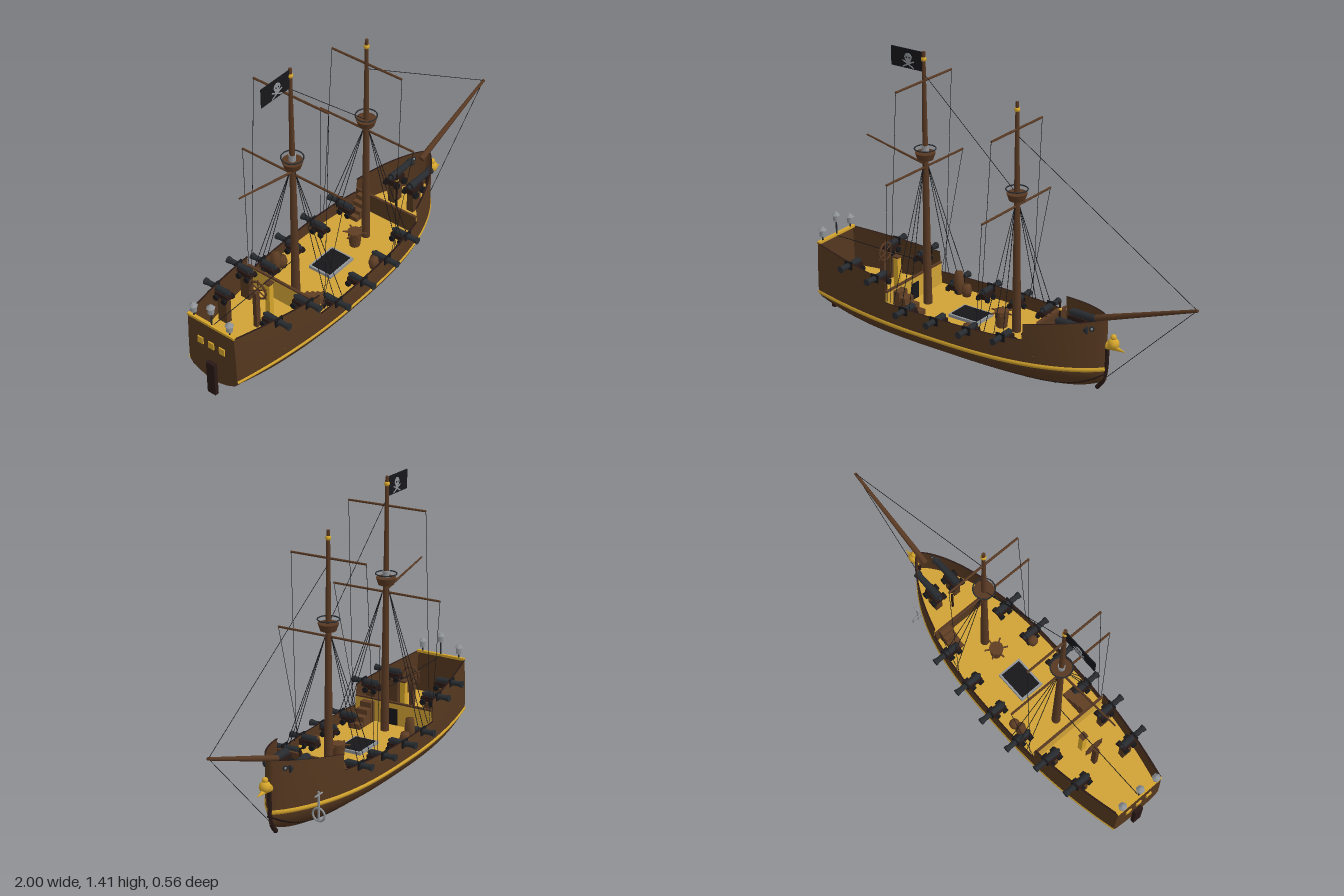
import * as THREE from 'three';
import { ParametricGeometry } from 'three/addons/geometries/ParametricGeometry.js';

const V = (x, y, z) => new THREE.Vector3(x, y, z);
const paint = (name, color, side = THREE.FrontSide) => {
  const m = new THREE.MeshStandardMaterial({ color, side });
  m.name = name;
  return m;
};

export function createModel() {
  const ship = new THREE.Group();
  ship.name = 'ship';
  const hullWood = paint('hull wood', 0x54371f, THREE.DoubleSide);
  const mastWood = paint('mast wood', 0x573822);
  const darkWood = paint('dark wood', 0x281815, THREE.DoubleSide);
  const gold = paint('gold', 0xd4a42c, THREE.DoubleSide);
  const deckWood = paint('deck', 0xd0a236, THREE.DoubleSide);
  const iron = paint('iron', 0x272b2f);
  const black = paint('black', 0x17171a);
  const grey = paint('grey', 0x8f9397);
  const boxWood = paint('cargo wood', 0x5f3e24);

  const add = (name, geo, mat, x = 0, y = 0, z = 0, parent = ship) => {
    const m = new THREE.Mesh(geo, mat);
    m.name = name;
    m.position.set(x, y, z);
    parent.add(m);
    return m;
  };
  const box = (name, w, h, d, mat, x, y, z, parent) => add(name, new THREE.BoxGeometry(w, h, d), mat, x, y, z, parent);
  const cyl = (name, r1, r0, h, mat, x, y, z, parent, n = 12) => add(name, new THREE.CylinderGeometry(r1, r0, h, n), mat, x, y, z, parent);
  const ball = (name, r, mat, x, y, z, parent) => add(name, new THREE.SphereGeometry(r, 14, 10), mat, x, y, z, parent);
  // tapered rod between two points
  const rod = (name, a, b, r0, r1, mat, parent = ship, n = 10) => {
    const d = b.clone().sub(a), mid = a.clone().add(b).multiplyScalar(0.5);
    const m = cyl(name, r1, r0, d.length(), mat, mid.x, mid.y, mid.z, parent, n);
    m.quaternion.setFromUnitVectors(V(0, 1, 0), d.normalize());
    return m;
  };
  const rope = (a, b, r = 0.0014) => rod('rope', a, b, r, r, black, ship, 5);

  // hull rule: beam, keel line and section shape
  const beam = x => x < -0.3 ? 0.22 - 0.085 * ((-0.3 - x) / 0.68) ** 2
    : 0.22 * Math.max(0, 1 - ((x + 0.3) / 0.86) ** 3) ** 0.8;
  const keelY = x => x < -0.45 ? 0.01 + 0.07 * ((-0.45 - x) / 0.53) ** 3
    : x > 0.2 ? 0.01 + 0.08 * ((x - 0.2) / 0.36) ** 3 : 0.01;
  const half = (x, y) => {
    const k = keelY(x), s = Math.max(0, (y - k) / (0.15 - k));
    return beam(x) * (s < 1 ? (1 - (1 - s) ** 2) ** 0.7 : 1 - 0.06 * ((y - 0.15) / 0.25) ** 2);
  };
  const lerp = THREE.MathUtils.lerp;
  const surface = (name, mat, nu, nv, fn) =>
    add(name, new ParametricGeometry((u, v, t) => t.set(...fn(u, v)), nu, nv), mat);

  // three hull lengths: x0, x1, top at x0, top at x1
  const floor = 0.19;
  const lengths = [[-0.98, -0.51, 0.395, 0.35], [-0.51, 0.23, 0.247, 0.26], [0.23, 0.56, 0.335, 0.385]];
  for (const [x0, x1, t0, t1] of lengths) {
    const top = x => lerp(t0, t1, (x - x0) / (x1 - x0));
    for (const s of [1, -1]) {
      const at = u => s > 0 ? lerp(x0, x1, u) : lerp(x1, x0, u);
      surface('hullSide', hullWood, 36, 22, (u, v) => {
        const x = at(u), y = lerp(keelY(x), top(x), v ** 1.5);
        return [x, y, s * half(x, y)];
      });
      surface('capRail', darkWood, 36, 1, (u, v) => {
        const x = at(u), y = top(x);
        return [x, y + 0.002, s * Math.max(0, half(x, y) + lerp(0.005, -0.004, v))];
      });
    }
    surface('deck', deckWood, 36, 1, (u, v) => {
      const x = lerp(x0, x1, u);
      return [x, floor, half(x, floor) * (1 - 2 * v)];
    });
  }
  surface('transom', hullWood, 12, 16, (u, v) => {
    const y = lerp(keelY(-0.98), 0.395, v);
    return [-0.98, y, half(-0.98, y) * (2 * u - 1)];
  });

  // raised bands along the sides
  const wale = (name, mat, s, height, bulge, yAt) => surface(name, mat, 70, 6, (u, v) => {
    const x = s > 0 ? lerp(-0.98, 0.557, u) : lerp(0.557, -0.98, u);
    const y = yAt(x) + height * (v - 0.5);
    return [x, y, s * (half(x, y) + 0.001 + bulge * Math.sin(Math.PI * v))];
  });
  for (const s of [1, -1]) {
    wale('goldWale', gold, s, 0.021, 0.004, () => 0.146);
    wale('lowerWale', darkWood, s, 0.01, 0.004, x => keelY(x) + 0.036);
  }
  // keel, stem and rudder
  box('keel', 1.1, 0.03, 0.022, darkWood, -0.25, 0.015, 0);
  add('stem', new THREE.TubeGeometry(new THREE.CatmullRomCurve3(
    [V(0.51, 0.04, 0), V(0.54, 0.08, 0), V(0.555, 0.15, 0), V(0.558, 0.25, 0)]), 16, 0.011, 6), darkWood);
  box('rudder', 0.02, 0.175, 0.045, darkWood, -0.99, 0.107, 0);
  // stern windows, rail and lanterns
  for (const z of [-0.06, 0, 0.06]) box('sternWindow', 0.006, 0.035, 0.03, gold, -0.984, 0.29, z);
  box('sternRail', 0.016, 0.012, 0.26, gold, -0.975, 0.398, 0);
  for (const [z, y] of [[-0.1, 0.425], [0, 0.468], [0.1, 0.425]]) {
    const g = new THREE.Group();
    g.name = 'lantern';
    g.position.set(-0.972, y, z);
    ship.add(g);
    rod('lanternPole', V(0, 0.398 - y, 0), V(0, 0, 0), 0.004, 0.004, iron, g);
    cyl('lanternBody', 0.015, 0.015, 0.03, grey, 0, 0.015, 0, g, 6);
    cyl('lanternRoof', 0.005, 0.021, 0.016, grey, 0, 0.038, 0, g, 6);
  }

  // bulkheads, door and stairs
  for (const [x, h, mat] of [[-0.507, 0.3, deckWood], [0.228, 0.285, hullWood]]) {
    const w = half(x, 0.24) * 2 - 0.01;
    box('bulkhead', 0.008, h - floor, w, mat, x, (h + floor) / 2, 0);
    box('bulkheadRail', 0.012, 0.008, w, mastWood, x, h + 0.001, 0);
  }
  box('cabinDoor', 0.006, 0.08, 0.05, black, -0.501, 0.232, 0);
  for (let i = 0; i < 4; i++) {
    const h = 0.025 * (4 - i);
    box('aftStair', 0.034, h, 0.06, boxWood, -0.485 + i * 0.035, floor + h / 2, 0.13);
    box('foreStair', 0.024, h * 0.9, 0.06, boxWood, 0.21 - i * 0.025, floor + h * 0.45, -0.12);
  }

  // guns on carriages that reach down to the deck
  const cannon = (x, y, z, turn, size = 1) => {
    const g = new THREE.Group();
    g.name = 'cannon';
    g.position.set(x, y, z);
    g.rotation.y = turn;
    g.scale.setScalar(size);
    ship.add(g);
    rod('barrel', V(0, 0, -0.07), V(0, 0, 0.06), 0.016, 0.012, iron, g);
    rod('muzzle', V(0, 0, 0.042), V(0, 0, 0.06), 0.014, 0.017, iron, g);
    ball('breechKnob', 0.009, iron, 0, 0, -0.077, g);
    const drop = (y - floor) / size;
    if (drop > 0.08) box('gunPedestal', 0.03, drop - 0.04, 0.05, hullWood, 0, -(drop + 0.04) / 2, -0.045, g);
    box('carriage', 0.04, 0.024, 0.07, darkWood, 0, -0.02, -0.045, g);
    for (const wx of [-0.026, 0.026]) for (const wz of [-0.068, -0.022])
      rod('wheel', V(wx - 0.006, -0.034, wz), V(wx + 0.006, -0.034, wz), 0.014, 0.014, black, g);
  };
  const guns = [[-0.75, 0.36], [-0.575, 0.35], [-0.398, 0.24], [-0.222, 0.24], [-0.045, 0.243], [0.13, 0.255]];
  for (const s of [1, -1]) {
    for (const [x, y] of guns) {
      const w = half(x, y);
      cannon(x, y, s * (w + 0.003), s > 0 ? 0 : Math.PI);
      box('gunPort', 0.045, 0.038, 0.008, black, x, y, s * (w + 0.003));
    }
    cannon(0.425, 0.338, s * 0.055, Math.PI / 2, 1.2);
    // hawse holes: dark ring with a pale centre
    const hawse = add('hawseRing', new THREE.TorusGeometry(0.009, 0.004, 6, 14), iron, 0.51, 0.345, s * (half(0.51, 0.345) + 0.001));
    const hole = ball('hawseHole', 0.008, grey, 0.51, 0.345, s * half(0.51, 0.345));
    hole.scale.z = 0.4;
    hole.rotation.y = hawse.rotation.y = s * 0.6;
  }

  // masts: x, top, top yard, half length, low yard, half length, nest height
  const masts = [[-0.427, 1.41, 1.275, 0.2, 0.868, 0.28, 0.905], [0.077, 1.28, 1.155, 0.19, 0.8, 0.26, 0.828]];
  for (const [x, top, y1, l1, y0, l0, nest] of masts) {
    rod('mast', V(x, 0.18, 0), V(x, top, 0), 0.021, 0.008, mastWood, ship, 14);
    ball('mastBall', 0.013, gold, x, top - 0.035, 0);
    cyl('crowsNest', 0.047, 0.036, 0.033, mastWood, x, nest + 0.016, 0, ship, 18);
    const ring = add('nestRail', new THREE.TorusGeometry(0.049, 0.003, 6, 24), iron, x, nest + 0.051, 0);
    ring.rotation.x = Math.PI / 2;
    for (const s of [1, -1]) {
      rod('upperYard', V(x, y1, 0), V(x, y1, s * l1), 0.0055, 0.005, mastWood);
      rod('lowerYard', V(x, y0, 0), V(x, y0, s * l0), 0.0055, 0.005, mastWood);
      const foot = dx => V(x + dx, 0.255, s * (half(x + dx, 0.25) - 0.004));
      rope(V(x, y1, s * l1), foot(-0.055), 0.0012);
      rope(V(x, y0, s * l0), foot(-0.075), 0.0012);
      for (const dx of [-0.035, 0.015, 0.06]) rope(V(x, nest - 0.02, s * 0.012), foot(dx), 0.0016);
    }
  }
  cyl('mastCollar', 0.016, 0.016, 0.03, grey, -0.427, 0.955, 0);
  rod('gaff', V(-0.43, 0.88, 0), V(-0.765, 0.95, 0), 0.006, 0.004, mastWood);
  rope(V(-0.43, 0.393, 0), V(-0.98, 0.393, 0), 0.0018);
  rod('bowsprit', V(0.5, 0.375, 0), V(0.998, 0.55, 0), 0.015, 0.007, mastWood);
  rope(V(-0.43, 1.31, 0), V(0.06, 0.87, 0));
  rope(V(0.075, 1.13, 0), V(0.995, 0.55, 0));
  rope(V(0.995, 0.55, 0), V(0.555, 0.1, 0));

  // flag with a bone emblem
  box('flag', 0.178, 0.09, 0.004, black, -0.52, 1.361, 0);
  const skull = cyl('emblemHead', 0.02, 0.02, 0.008, grey, -0.513, 1.368, 0, ship, 16);
  skull.rotation.x = Math.PI / 2;
  box('emblemJaw', 0.026, 0.018, 0.008, grey, -0.513, 1.348, 0);
  for (const s of [1, -1]) {
    box('emblemBone', 0.07, 0.006, 0.007, grey, -0.513, 1.336, 0).rotation.z = s * 0.45;
    const eye = cyl('emblemEye', 0.004, 0.004, 0.0095, black, -0.513 + s * 0.008, 1.367, 0, ship, 8);
    eye.rotation.x = Math.PI / 2;
  }

  // figurehead
  ball('figureBody', 0.027, gold, 0.59, 0.277, 0);
  ball('figureHead', 0.014, gold, 0.59, 0.308, 0);
  rod('figureTail', V(0.56, 0.265, 0), V(0.65, 0.252, 0), 0.022, 0.001, gold);
  // anchor
  add('anchorRing', new THREE.TorusGeometry(0.03, 0.005, 8, 24), grey, 0.395, 0.107, -0.145).rotation.y = Math.PI / 2;
  rod('anchorShank', V(0.395, 0.08, -0.145), V(0.395, 0.215, -0.145), 0.005, 0.005, grey);
  rod('anchorStock', V(0.365, 0.2, -0.145), V(0.425, 0.2, -0.145), 0.004, 0.004, grey);

  // hatch, capstan, helm, binnacle and bell
  box('hatchFrame', 0.165, 0.014, 0.125, grey, -0.178, 0.197, 0);
  box('hatchGrating', 0.145, 0.018, 0.105, black, -0.178, 0.198, 0);
  cyl('capstan', 0.034, 0.025, 0.08, boxWood, -0.005, 0.23, 0);
  for (let i = 0; i < 3; i++) {
    const c = Math.cos(i * Math.PI / 3) * 0.055, d = Math.sin(i * Math.PI / 3) * 0.055;
    rod('capstanBar', V(-0.005 - c, 0.262, -d), V(-0.005 + c, 0.262, d), 0.004, 0.004, boxWood);
    rod('helmSpoke', V(-0.675, 0.385 - c, -d), V(-0.675, 0.385 + c, d), 0.003, 0.003, mastWood);
  }
  add('helmWheel', new THREE.TorusGeometry(0.043, 0.005, 8, 24), mastWood, -0.675, 0.385, 0).rotation.y = Math.PI / 2;
  box('helmStand', 0.025, 0.195, 0.02, mastWood, -0.69, 0.288, 0);
  box('binnacle', 0.026, 0.185, 0.026, gold, -0.605, 0.282, 0);
  box('binnacleLid', 0.032, 0.008, 0.032, mastWood, -0.605, 0.378, 0);
  cyl('bellPost', 0.005, 0.006, 0.21, darkWood, 0.31, 0.295, 0);
  ball('bell', 0.008, gold, 0.312, 0.365, 0);
  // barrels: x, z, height scale
  const stave = [[0, 0], [0.019, 0], [0.025, 0.027], [0.019, 0.055], [0, 0.055]].map(p => new THREE.Vector2(...p));
  for (const [x, z, tall] of [[-0.37, -0.165, 2], [-0.325, -0.165, 1], [-0.075, 0.165, 1]])
    add('barrelCask', new THREE.LatheGeometry(stave, 14), boxWood, x, floor, z).scale.y = tall;
  return ship;
}
